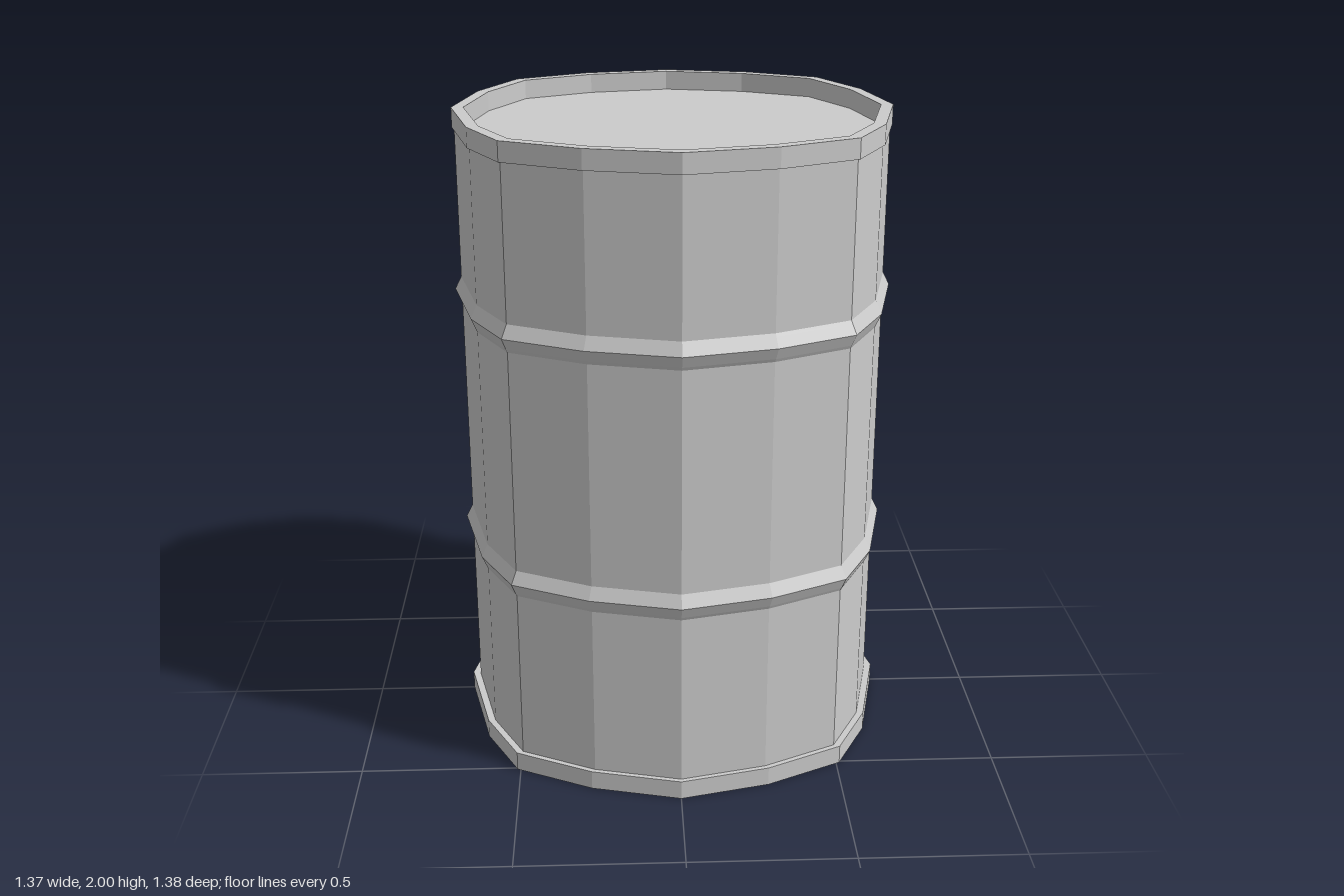
import * as THREE from 'three';

// Slightly uneven sixteen-sided outline, half of it from front (+z) to back
const HALF = [[0, 1], [0.4, 0.905], [0.745, 0.74], [0.895, 0.455], [1, 0],
  [0.91, -0.41], [0.74, -0.745], [0.4, -0.915], [0, -1]];
const OUTLINE = [...HALF, ...HALF.slice(1, -1).reverse().map(([x, z]) => [-x, z])];

const material = new THREE.MeshStandardMaterial({ color: 0xcccccc, flatShading: true });

// Sweep a [radius, height] profile around the outline
function shell(name, profile, z) {
  const points = profile.map(([r, y]) => new THREE.Vector2(r, y));
  const lathe = new THREE.LatheGeometry(points, OUTLINE.length);
  const pos = lathe.attributes.position;
  for (let k = 0; k < pos.count; k++) {
    const [x, dz] = OUTLINE[Math.floor(k / points.length) % OUTLINE.length];
    const p = points[k % points.length];
    pos.setXYZ(k, p.x * x, p.y, p.x * dz);
  }
  const geometry = lathe.toNonIndexed();
  geometry.computeVertexNormals();
  const mesh = new THREE.Mesh(geometry, material);
  mesh.name = name;
  mesh.position.z = z;
  return mesh;
}

export function createModel() {
  const drum = new THREE.Group();
  drum.name = 'drum';

  // Drum wall with two rolling hoops pressed into it
  const wall = [[0.66, 0.05]];
  for (const y of [0.655, 1.435]) {
    wall.push([0.66, y - 0.045], [0.665, y - 0.035], [0.68, y], [0.665, y + 0.03], [0.66, y + 0.04]);
  }
  wall.push([0.66, 1.95]);
  drum.add(shell('wall', wall, 0.01));

  // Rims: outer lip and the inner face down to the recessed ends
  drum.add(shell('bottomRim', [[0.63, 0.06], [0.63, 0], [0.685, 0], [0.685, 0.06], [0.65, 0.06]], 0));
  drum.add(shell('topRim', [[0.65, 1.94], [0.667, 1.94], [0.667, 2], [0.63, 2], [0.63, 1.94]], 0.008));

  // Recessed end plates
  drum.add(shell('bottomPlate', [[0, 0.06], [0.63, 0.06]], 0));
  drum.add(shell('lid', [[0.63, 1.94], [0, 1.94]], 0.008));

  return drum;
}
